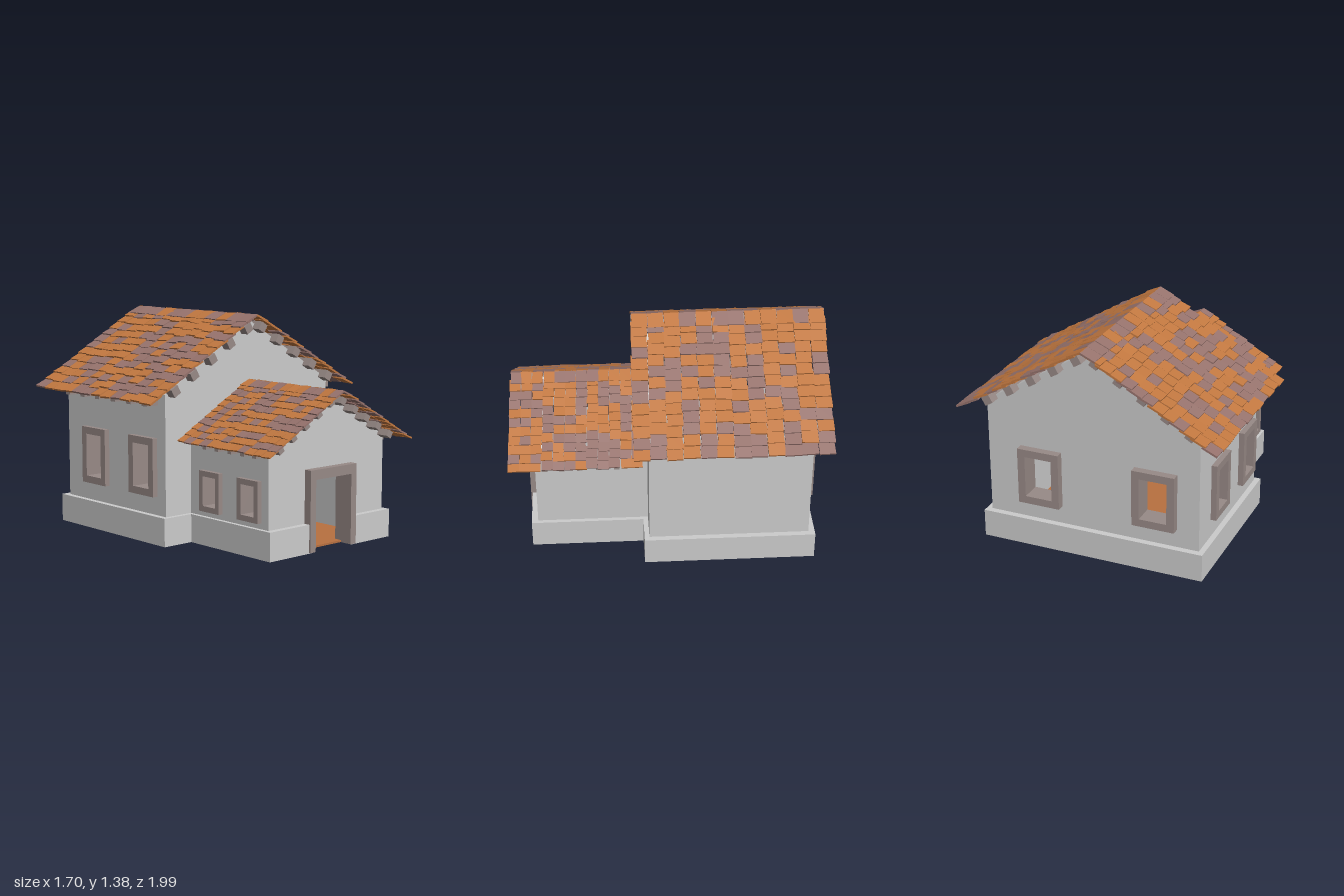
import * as THREE from 'three';
import { mergeGeometries } from 'three/addons/utils/BufferGeometryUtils.js';

const mat = (color) => new THREE.MeshStandardMaterial({ color, flatShading: true });
const plaster = mat(0xcccccc);
const timber = mat(0x988a87);
const orange = mat(0xc27840);
const mauve = mat(0x97736d);
const soil = mat(0xb87040);
const T = 0.07; // wall thickness

let seed = 7;
function rand() { // small repeatable random, -1..1
  seed = (seed * 16807) % 2147483647;
  return (seed / 2147483647) * 2 - 1;
}

function mesh(name, geo, material) {
  const m = new THREE.Mesh(geo, material);
  m.name = name;
  return m;
}

const toPoints = (pts) => pts.map(([x, y]) => new THREE.Vector2(x, y));
const rect = (cx, cy, w, h) => [
  [cx - w / 2, cy - h / 2], [cx + w / 2, cy - h / 2],
  [cx + w / 2, cy + h / 2], [cx - w / 2, cy + h / 2]];

function slab(pts, holes, depth) {
  const shape = new THREE.Shape(toPoints(pts));
  holes.forEach((h) => shape.holes.push(new THREE.Path(toPoints(h))));
  return new THREE.ExtrudeGeometry(shape, { depth, bevelEnabled: false });
}

// Slab drawn in (z, y) that grows from x towards -x
const sideSlab = (pts, holes, depth, x) =>
  slab(pts, holes, depth).rotateY(-Math.PI / 2).translate(x, 0, 0);
// Slab drawn in (x, z) that grows from y upwards
const flatSlab = (pts, depth, y) =>
  slab(pts.map(([x, z]) => [x, -z]), [], depth).rotateX(-Math.PI / 2).translate(0, y, 0);

const windowHole = (w) => rect(w.u, w.y, w.w - 0.03, w.h - 0.03);
const windowFrame = (w) => [rect(w.u, w.y, w.w, w.h),
  [rect(w.u, w.y, w.w - 2 * w.b, w.h - 2 * w.b)]];

// Rows of loose, overlapping, slightly tilted tiles on both slopes
function tiledRoof(name, o) {
  const group = new THREE.Group();
  group.name = name;
  const lists = [[], []];
  const angle = Math.atan2(o.ridge - o.eave, o.half);
  const length = Math.hypot(o.ridge - o.eave, o.half);
  const pitch = length / o.rows;
  const band = (o.z1 - o.z0) / o.bands;
  for (const s of [-1, 1]) {
    for (let i = 0; i < o.bands; i++) {
      const shift = rand() * pitch * 0.2;
      for (let j = 0; j < o.rows; j++) {
        const size = pitch * 1.35;
        const edge = j === 0 ? 0 : shift;
        const d = (j + 1) * pitch - size / 2 + edge * (j === o.rows - 1 ? 0.4 : 1);
        const along = j === 0 ? Math.max(d, size / 2) : d;
        const g = new THREE.BoxGeometry(size, o.thick, band * (0.98 + 0.04 * rand()));
        g.rotateX(rand() * 0.06);
        g.rotateY(rand() * 0.03);
        g.rotateZ(-s * (angle - 0.1 - rand() * 0.05));
        const x = s * along * Math.cos(angle);
        g.translate(o.cx + x, o.ridge - along * Math.sin(angle) - o.thick * 0.5,
          o.z0 + (i + 0.5) * band + 0.022 * x / o.half + rand() * 0.004);
        lists[rand() > -0.1 ? 0 : 1].push(g);
      }
    }
  }
  group.add(mesh('orangeTiles', mergeGeometries(lists[0]), orange));
  group.add(mesh('mauveTiles', mergeGeometries(lists[1]), mauve));
  return group;
}

// Purlins along z under both slopes, and joists across x at the eaves
function roofTimbers(name, o) {
  const group = new THREE.Group();
  group.name = name;
  for (const s of [-1, 1]) {
    for (let i = 0; i < 5; i++) {
      const x = o.first + i * o.step;
      const g = new THREE.BoxGeometry(o.size, o.size, o.z1 - o.z0);
      g.rotateZ(-s * o.angle);
      g.translate(s * x, o.top - x * Math.tan(o.angle), (o.z0 + o.z1) / 2);
      group.add(mesh('purlin', g, timber));
    }
  }
  for (const z of o.joists) {
    const g = new THREE.BoxGeometry(o.reach * 2, o.size * 0.7, o.size * 0.8);
    group.add(mesh('joist', g.translate(0, o.joistY, z), timber));
  }
  return group;
}

export function createModel() {
  const root = new THREE.Group();
  const add = (name, geo, material) => root.add(mesh(name, geo, material));

  // Windows: u is the position along the wall, b the width of the frame bars
  const backWindows = [0.335, -0.41].map((u) => ({ u, y: 0.47, w: 0.27, h: 0.36, b: 0.048 }));
  const sideWindows = [-0.54, -0.06].map((u) => ({ u, y: 0.47, w: 0.24, h: 0.36, b: 0.045 }));
  const porchWindows = [0.34, 0.68].map((u) => ({ u, y: 0.335, w: 0.18, h: 0.25, b: 0.034 }));

  // Main house walls
  const W = 0.685, B = -0.85, F = 0.14;
  const gable = [[W, 0.92], [0, 1.335], [-W, 0.92]];
  add('backWall', slab([[-W, 0.01], [W, 0.01], ...gable], backWindows.map(windowHole), T)
    .translate(0, 0, B), plaster);
  add('mainFrontWall', slab([[-W, 0.01], [-0.415, 0.01], [-0.415, 0.6], [0.415, 0.6],
    [0.415, 0.01], [W, 0.01], ...gable], [], T).translate(0, 0, F - T), plaster);
  const mainSide = [[B + T, 0.01], [F - T, 0.01], [F - T, 0.92], [B + T, 0.92]];
  add('mainLeftWall', sideSlab(mainSide, [], T, W), plaster);
  add('mainRightWall', sideSlab(mainSide, sideWindows.map(windowHole), T, T - W), plaster);

  // Porch walls, the front one notched for the doorway
  const P = 0.485, PF = 0.83;
  add('porchFrontWall', slab([[-P, 0.01], [-0.16, 0.01], [-0.16, 0.47], [0.175, 0.47],
    [0.175, 0.01], [P, 0.01], [P, 0.65], [0, 0.935], [-P, 0.65]], [], T)
    .translate(0, 0, PF - T), plaster);
  const porchSide = [[F, 0.01], [PF - T, 0.01], [PF - T, 0.65], [F, 0.65]];
  add('porchLeftWall', sideSlab(porchSide, [], T, P), plaster);
  add('porchRightWall', sideSlab(porchSide, porchWindows.map(windowHole), T, T - P), plaster);

  // Plinth: a ring around the plan, open at the door
  const half = (s, door) => [[s * door, 0.87], [s * 0.51, 0.87], [s * 0.51, 0.17],
    [s * 0.72, 0.17], [s * 0.72, -0.89], [0, -0.89]];
  const inner = (s, door) => [[0, -0.8], [s * 0.64, -0.8], [s * 0.64, 0.09],
    [s * 0.44, 0.09], [s * 0.44, 0.78], [s * door, 0.78]];
  add('leftPlinth', flatSlab([...half(1, 0.175), ...inner(1, 0.175)], 0.175, 0), plaster);
  add('rightPlinth', flatSlab([...half(-1, 0.165), ...inner(-1, 0.165)], 0.175, 0), plaster);

  // Floor
  add('floor', flatSlab([[-0.645, -0.805], [0.645, -0.805], [0.645, 0.095], [0.445, 0.095],
    [0.445, 0.8], [-0.445, 0.8], [-0.445, 0.095], [-0.645, 0.095]], 0.012, 0.006), soil);

  // Door frame
  add('doorFrame', slab([[-0.19, 0.005], [-0.145, 0.005], [-0.145, 0.44], [0.155, 0.44],
    [0.155, 0.005], [0.2, 0.005], [0.2, 0.5], [-0.19, 0.5]], [], 0.13)
    .translate(0, 0, 0.75), timber);

  // Window frames, standing a little proud of both wall faces
  for (const w of backWindows)
    add('backWindowFrame', slab(...windowFrame(w), 0.13).translate(0, 0, B - 0.05), timber);
  for (const w of sideWindows)
    add('sideWindowFrame', sideSlab(...windowFrame(w), 0.12, 0.085 - W), timber);
  for (const w of porchWindows)
    add('porchWindowFrame', sideSlab(...windowFrame(w), 0.11, 0.08 - P), timber);

  // Roof timbers
  root.add(roofTimbers('mainRoofTimbers', { first: 0.06, step: 0.147, size: 0.055, angle: 0.533,
    top: 1.326, z0: -0.92, z1: 0.2, joists: [0.05, -0.105, -0.26, -0.42, -0.575, -0.73],
    joistY: 0.87, reach: 0.775 }));
  root.add(roofTimbers('porchRoofTimbers', { first: 0.05, step: 0.103, size: 0.042, angle: 0.524,
    top: 0.922, z0: 0.1, z1: 0.91, joists: [0.33, 0.44, 0.555, 0.665, 0.77],
    joistY: 0.613, reach: 0.542 }));

  // Tiled roofs
  root.add(tiledRoof('mainRoof', { cx: 0, half: 0.84, ridge: 1.38, eave: 0.885, z0: -0.975,
    z1: 0.215, rows: 13, bands: 12, thick: 0.012 }));
  root.add(tiledRoof('porchRoof', { cx: -0.01, half: 0.58, ridge: 0.972, eave: 0.632, z0: 0.15,
    z1: 0.972, rows: 11, bands: 12, thick: 0.009 }));

  return root;
}
